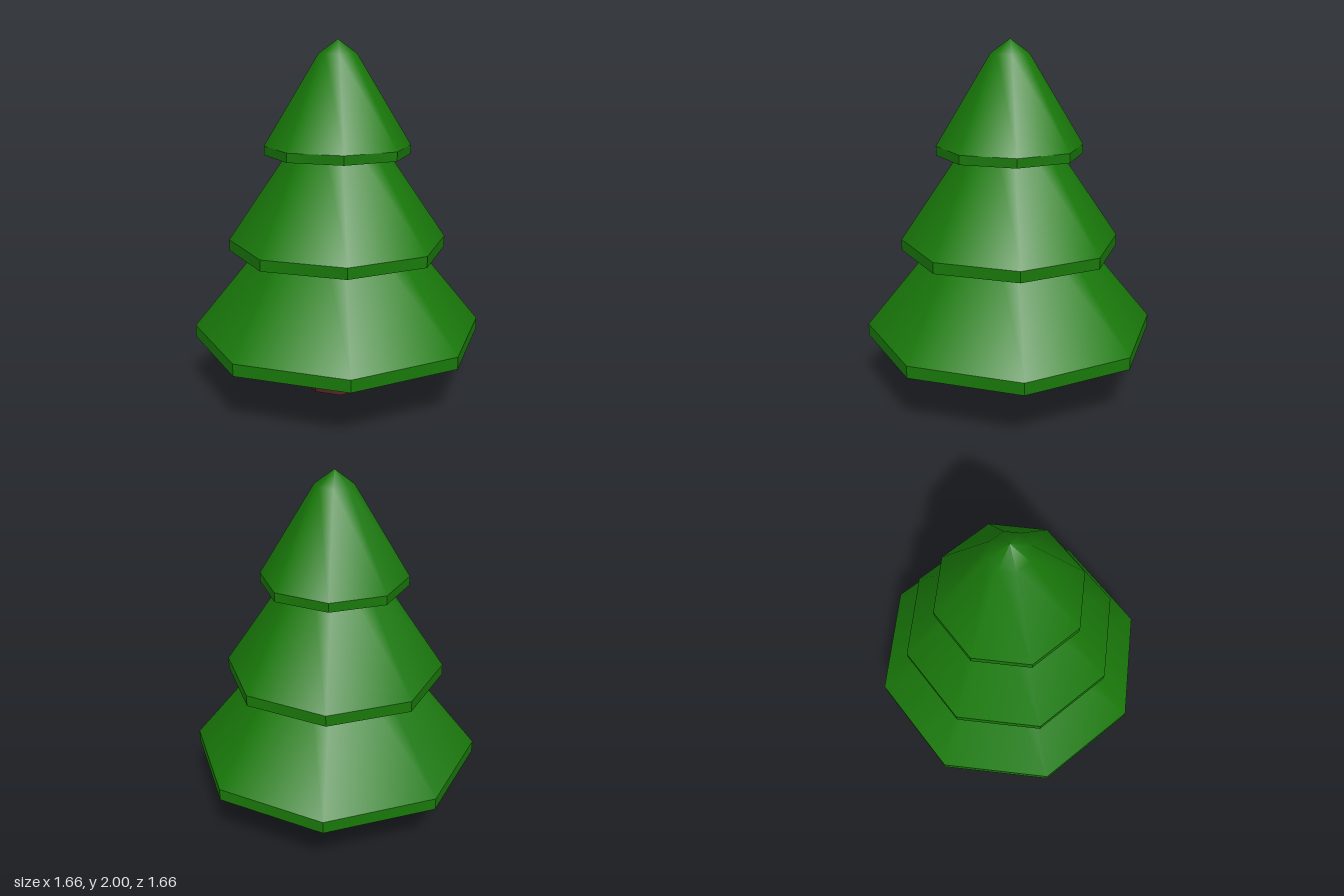
import * as THREE from 'three';

const SIDES = 8;
const leafSmooth = new THREE.MeshStandardMaterial({ color: 0x19780a });
const leafFlat = new THREE.MeshStandardMaterial({ color: 0x19780a, flatShading: true });
const bark = new THREE.MeshStandardMaterial({ color: 0x4a1d1d });

// Eight-sided surface of revolution; a profile running upward faces outward
function lathe(name, profile, material) {
  const points = profile.map(([r, y]) => new THREE.Vector2(r, y));
  const mesh = new THREE.Mesh(new THREE.LatheGeometry(points, SIDES), material);
  mesh.name = name;
  return mesh;
}

// Hollow skirt of foliage: vertical rim, sloping outside with a blunt tip, and
// an underside that thins out from the rim's lower edge towards the tip
function createTier(name, { radius, bottom, rim, tipRadius, tipY, top }) {
  const tier = new THREE.Group();
  tier.name = name;
  tier.add(
    lathe('rim', [[radius, bottom], [radius, rim]], leafFlat),
    lathe('slope', [[radius, rim], [tipRadius, tipY], [0, top]], leafSmooth),
    lathe('underside', [[0, top - 0.01], [tipRadius, tipY - 0.01], [radius, bottom]], leafSmooth),
  );
  return tier;
}

// Tapered trunk of four softly bent sides meeting in hard corners
function createTrunk(topRadius, baseRadius, height) {
  const trunk = new THREE.Group();
  trunk.name = 'trunk';
  for (let i = 0; i < 4; i++) {
    const start = Math.PI / 4 + i * Math.PI / 2;
    const geometry = new THREE.CylinderGeometry(topRadius, baseRadius, height, 2, 1, true, start, Math.PI / 2);
    geometry.computeVertexNormals();
    const side = new THREE.Mesh(geometry, bark);
    side.name = 'trunkSide';
    side.position.y = height / 2;
    trunk.add(side);
  }
  const base = new THREE.Mesh(new THREE.CircleGeometry(baseRadius, SIDES), bark);
  base.name = 'trunkBase';
  base.rotation.x = Math.PI / 2;
  trunk.add(base);
  return trunk;
}

export function createModel() {
  const tree = new THREE.Group();
  tree.name = 'tree';

  // Trunk, its upper end hidden inside the foliage
  tree.add(createTrunk(0.09, 0.2, 1.13));

  // Three stacked tiers of foliage
  tree.add(
    createTier('lowerFoliage', { radius: 0.828, bottom: 0.308, rim: 0.376, tipRadius: 0.21, tipY: 1.13, top: 1.24 }),
    createTier('middleFoliage', { radius: 0.62, bottom: 0.822, rim: 0.884, tipRadius: 0.16, tipY: 1.56, top: 1.66 }),
    createTier('upperFoliage', { radius: 0.413, bottom: 1.367, rim: 1.418, tipRadius: 0.107, tipY: 1.922, top: 2 }),
  );
  return tree;
}
